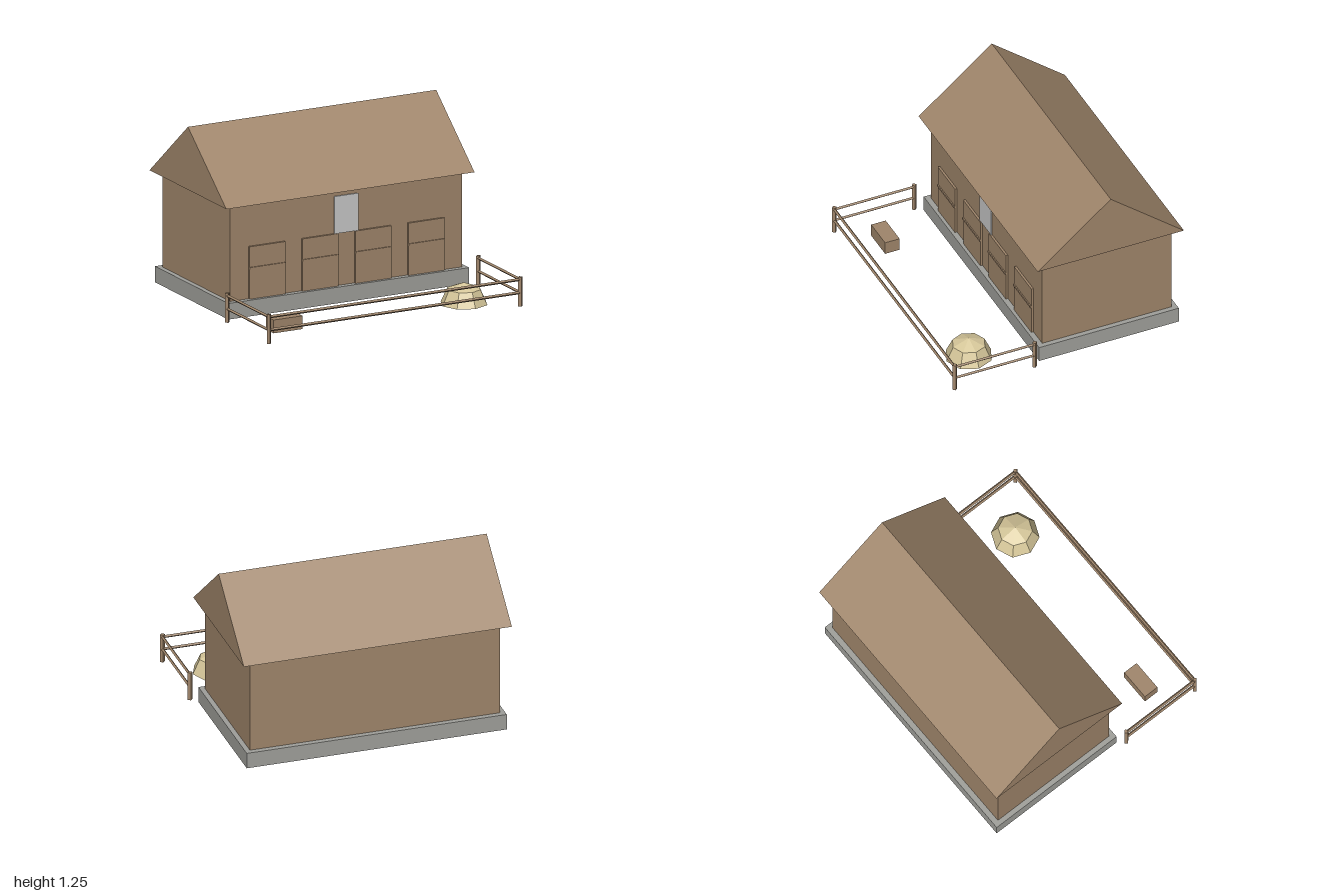
import * as THREE from 'three';

export function createModel() {
  const group = new THREE.Group();
  const mat = (name, color) => {
    const m = new THREE.MeshStandardMaterial({ color });
    m.name = name;
    return m;
  };
  const wood = mat('wood', 0xa0866b);
  const stone = mat('stone', 0xa0a09b);
  const panel = mat('pale panel', 0xc8c8c8);
  const straw = mat('straw', 0xd6c79a);

  const add = (name, geometry, material, x = 0, y = 0, z = 0, parent = group) => {
    const mesh = new THREE.Mesh(geometry, material);
    mesh.name = name;
    mesh.position.set(x, y, z);
    parent.add(mesh);
    return mesh;
  };
  // Box given by its limits on each axis
  const box = (name, material, [x0, x1], [y0, y1], [z0, z1], parent = group) =>
    add(name, new THREE.BoxGeometry(x1 - x0, y1 - y0, z1 - z0), material,
      (x0 + x1) / 2, (y0 + y1) / 2, (z0 + z1) / 2, parent);
  // Faceted normals
  const faceted = (geometry) => {
    const g = geometry.index ? geometry.toNonIndexed() : geometry;
    g.computeVertexNormals();
    return g;
  };

  // Building
  box('foundation', stone, [-0.944, 0.94], [0, 0.115], [-0.855, 0.205]);
  box('walls', wood, [-0.908, 0.904], [0.115, 0.8], [-0.815, 0.165]);

  // Gable roof: a triangular prism along x
  const gable = new THREE.Shape([
    new THREE.Vector2(-0.23, 0.8),
    new THREE.Vector2(0.88, 0.8),
    new THREE.Vector2(0.325, 1.25),
  ]);
  const roof = new THREE.ExtrudeGeometry(gable, { depth: 1.942, bevelEnabled: false });
  roof.rotateY(Math.PI / 2);
  add('roof', roof, wood, -0.973);

  // Four stall doors, each with a raised cross bar
  [-0.625, -0.21, 0.205, 0.62].forEach((x) => {
    const door = new THREE.Group();
    door.name = 'stallDoor';
    group.add(door);
    box('doorLeaf', wood, [x - 0.14, x + 0.14], [0.115, 0.49], [0.16, 0.181], door);
    box('doorBar', wood, [x - 0.14, x + 0.14], [0.328, 0.343], [0.175, 0.189], door);
  });
  box('wallPanel', panel, [-0.096, 0.09], [0.49, 0.757], [0.166, 0.175]);

  // Paddock fence
  const fence = new THREE.Group();
  fence.name = 'fence';
  group.add(fence);
  const fx = 0.983, zNear = 0.865, zFar = 0.26;
  const pole = (r, length) => faceted(new THREE.CylinderGeometry(r, r, length, 4));
  for (const s of [-1, 1])
    for (const z of [zNear, zFar])
      add('fencePost', pole(0.017, 0.21), wood, s * fx, 0.105, z, fence);
  for (const y of [0.097, 0.191]) {
    add('frontRail', pole(0.011, 2 * fx).rotateZ(Math.PI / 2), wood, 0, y, zNear, fence);
    for (const s of [-1, 1])
      add('sideRail', pole(0.011, zNear - zFar).rotateX(Math.PI / 2), wood,
        s * fx, y, (zNear + zFar) / 2, fence);
  }

  // Feed trough
  box('trough', wood, [-0.833, -0.606], [0, 0.095], [0.545, 0.655]);

  // Hay pile: a low faceted dome with a flat base
  const hay = new THREE.Group();
  hay.name = 'hayPile';
  hay.position.set(0.677, 0, 0.617);
  group.add(hay);
  const dome = new THREE.SphereGeometry(0.168, 8, 2, 0, Math.PI * 2, 0, Math.PI / 2);
  dome.scale(1, 0.89, 1);
  add('hayDome', faceted(dome), straw, 0, 0, 0, hay);
  add('hayBase', new THREE.CircleGeometry(0.168, 8).rotateX(Math.PI / 2), straw, 0, 0, 0, hay);

  return group;
}
